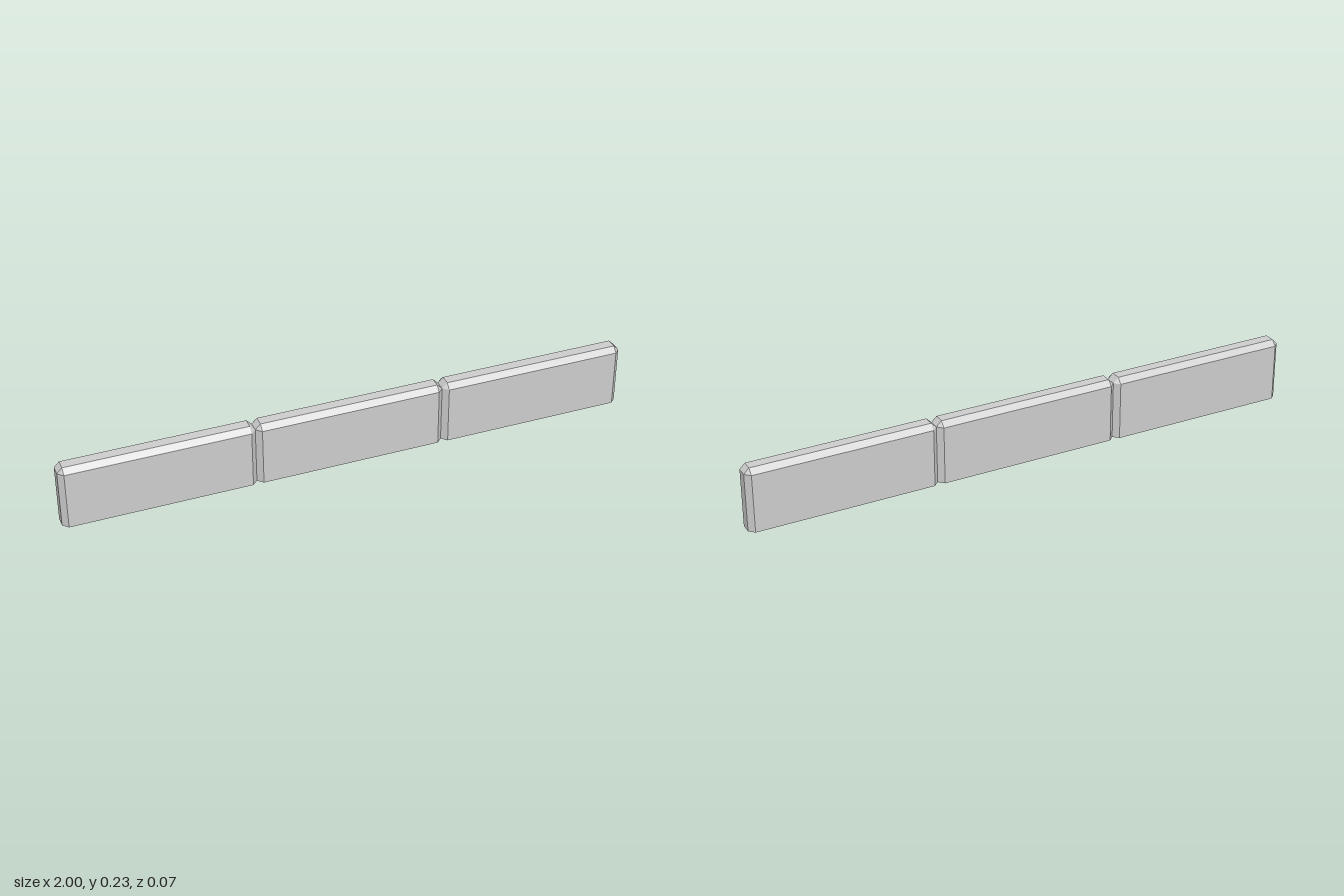
import * as THREE from 'three';
import { ConvexGeometry } from 'three/addons/geometries/ConvexGeometry.js';

// Block with chamfered upright and top edges, and a sharp flat base
function chamferedBlock(width, height, depth, c) {
  const hx = width / 2, hz = depth / 2;
  const points = [];
  for (const sx of [-1, 1]) {
    for (const sz of [-1, 1]) {
      for (const y of [0, height - c]) {
        points.push(new THREE.Vector3(sx * (hx - c), y, sz * hz));
        points.push(new THREE.Vector3(sx * hx, y, sz * (hz - c)));
      }
      points.push(new THREE.Vector3(sx * (hx - c), height, sz * (hz - c)));
    }
  }
  return new ConvexGeometry(points);
}

export function createModel() {
  const group = new THREE.Group();
  group.name = 'lowWall';
  const material = new THREE.MeshStandardMaterial({ color: 0xcccccc, flatShading: true });

  // Three equal blocks laid end to end
  const width = 2 / 3;
  const geometry = chamferedBlock(width, 0.226, 0.074, 0.0185);
  ['rightBlock', 'middleBlock', 'leftBlock'].forEach((name, i) => {
    const block = new THREE.Mesh(geometry, material);
    block.name = name;
    block.position.x = (i - 1) * width;
    group.add(block);
  });
  return group;
}
